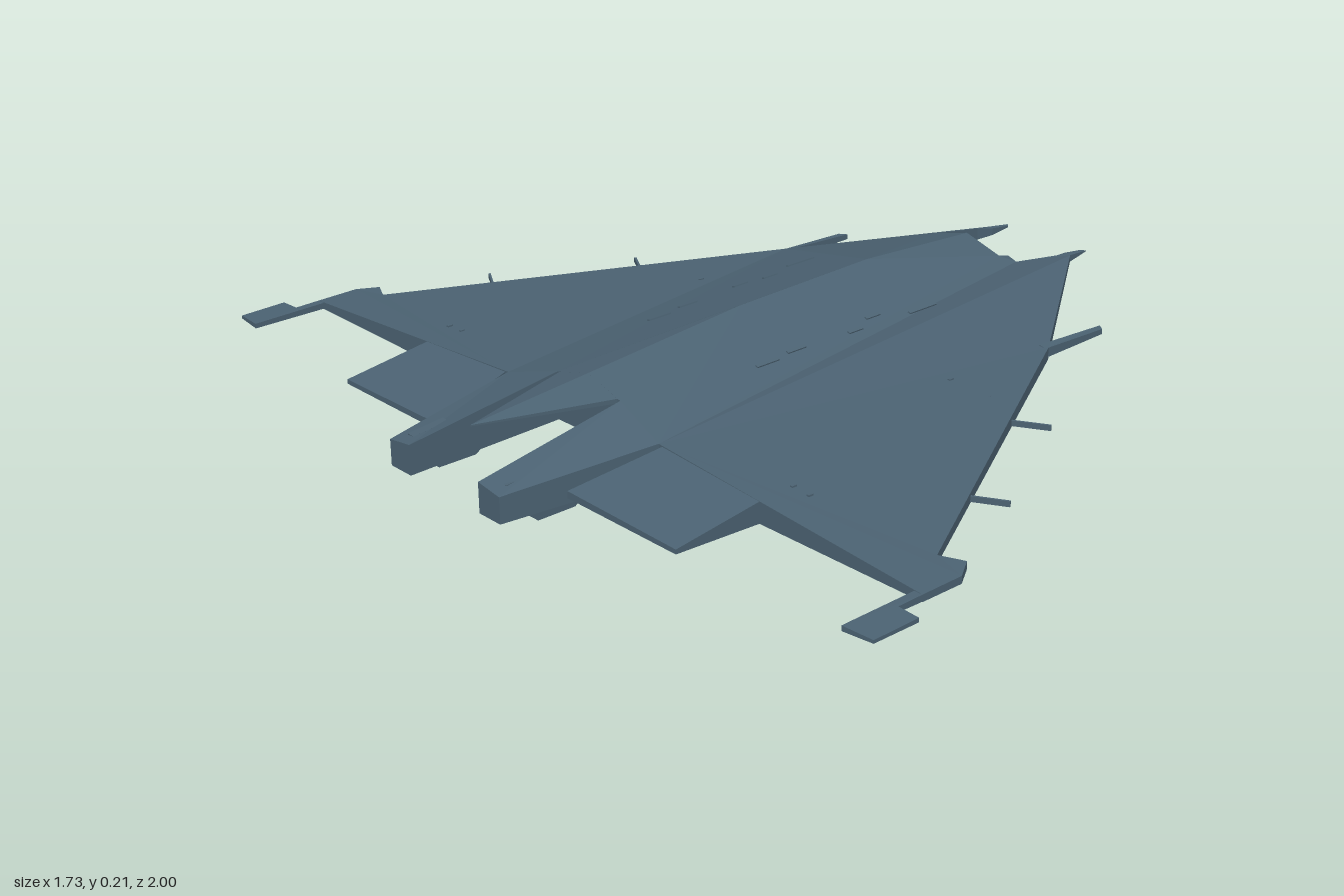
import * as THREE from 'three';

const mat = new THREE.MeshStandardMaterial({ color: 0x4b6272, flatShading: true });

// Solid between an upper and a lower surface; corners are [x, z, yTop, yBottom]
function slab(name, corners, side) {
  const p = corners.map(([x, z, t, b]) => [x, z * side, t, b]);
  const flat = p.map(c => new THREE.Vector2(c[0], c[1]));
  const ccw = THREE.ShapeUtils.area(flat) > 0;
  const pos = [];
  const top = c => [c[0], c[2], c[1]];
  const bot = c => [c[0], c[3], c[1]];
  const tri = (a, b, c) => pos.push(...a, ...b, ...c);
  for (const f of THREE.ShapeUtils.triangulateShape(flat, [])) {
    let [a, b, c] = f.map(i => p[i]);
    const cross = (b[0] - a[0]) * (c[1] - a[1]) - (b[1] - a[1]) * (c[0] - a[0]);
    if (cross > 0) [b, c] = [c, b];
    tri(top(a), top(b), top(c));
    tri(bot(a), bot(c), bot(b));
  }
  const ring = ccw ? p.slice().reverse() : p;
  ring.forEach((a, i) => {
    const b = ring[(i + 1) % ring.length];
    if (a[1] === 0 && b[1] === 0) return; // open along the centre line
    tri(top(a), bot(a), bot(b));
    tri(top(a), bot(b), top(b));
  });
  const geo = new THREE.BufferGeometry();
  geo.setAttribute('position', new THREE.Float32BufferAttribute(pos, 3));
  geo.computeVertexNormals();
  const m = new THREE.Mesh(geo, mat);
  m.name = name;
  return m;
}

function box(name, w, h, d, x, y, z) {
  const m = new THREE.Mesh(new THREE.BoxGeometry(w, h, d), mat);
  m.position.set(x, y, z);
  m.name = name;
  return m;
}

// Height of the sloping roof
const roofY = (x, z) => {
  const ridge = x < -0.1 ? 0.205 + (x + 0.1) * 0.086
    : x < 0.27 ? 0.205 + (x + 0.1) * 0.0216 : 0.213 - (x - 0.27) * 0.056;
  return ridge - 0.28 * z;
};

// Slab parts of one half
const parts = {
  hull: [
    [-0.51, 0, 0.17, 0.037], [-0.1, 0, 0.205, 0.038], [0.27, 0, 0.213, 0.056], [0.59, 0, 0.195, 0.082],
    [0.59, 0.1, 0.167, 0.08], [0.62, 0.1, 0.16, 0.083], [0.62, 0.125, 0.152, 0.084], [0.79, 0.122, 0.126, 0.106],
    [0.8, 0.13, 0.123, 0.107], [0.41, 0.41, 0.09, 0.062], [-0.53, 0.24, 0.103, 0.035], [-0.51, 0.1, 0.142, 0.036],
  ],
  nosePoint: [
    [0.76, 0.122, 0.13, 0.103], [0.8, 0.112, 0.124, 0.107], [0.855, 0.112, 0.117, 0.113],
    [0.865, 0.122, 0.116, 0.114], [0.8, 0.13, 0.123, 0.107],
  ],
  wing: [
    [0.41, 0.41, 0.09, 0.062], [-0.41, 0.87, 0.06, 0.04], [-0.385, 0.92, 0.058, 0.04],
    [-0.43, 0.95, 0.056, 0.04], [-0.53, 0.95, 0.055, 0.04], [-0.53, 0.24, 0.103, 0.035],
  ],
  wingTip: [
    [-0.53, 0.93, 0.055, 0.041], [-0.53, 0.95, 0.055, 0.041], [-0.59, 0.95, 0.054, 0.042], [-0.59, 1, 0.052, 0.043],
    [-0.7, 1, 0.05, 0.043], [-0.708, 0.93, 0.053, 0.042],
  ],
  flap: [
    [-0.53, 0.25, 0.1, 0.036], [-0.53, 0.528, 0.083, 0.037],
    [-0.735, 0.528, 0.055, 0.045], [-0.735, 0.213, 0.06, 0.045],
  ],
  tailSpike: [[-0.51, 0, 0.17, 0.134], [-0.51, 0.092, 0.144, 0.134], [-0.8, 0, 0.146, 0.143]],
  tailBoom: [
    [-0.51, 0.1, 0.142, 0.036], [-0.53, 0.24, 0.103, 0.035],
    [-0.868, 0.177, 0.078, 0.021], [-0.868, 0.112, 0.087, 0.021],
  ],
  leadingEdgeBlade: [
    [0.4, 0.41, 0.09, 0.068], [0.4, 0.393, 0.094, 0.068],
    [0.597, 0.393, 0.084, 0.072], [0.585, 0.41, 0.084, 0.072],
  ],
  boomFoot: [
    [-0.78, 0.142, 0.04, 0], [-0.78, 0.178, 0.04, 0],
    [-0.69, 0.178, 0.04, 0], [-0.64, 0.172, 0.04, 0.026], [-0.64, 0.148, 0.04, 0.026], [-0.69, 0.142, 0.04, 0],
  ],
  bellyRail: [
    [-0.64, 0.148, 0.045, 0.026], [-0.64, 0.172, 0.045, 0.026],
    [0.05, 0.168, 0.05, 0.035], [0.05, 0.152, 0.05, 0.035],
  ],
};

export function createModel() {
  const model = new THREE.Group();
  model.name = 'deltaCraft';

  // Underwing pod profile: radius, distance along the craft
  const podProfile = [[0, -0.65], [0.012, -0.56], [0.02, -0.42], [0.018, -0.3], [0.01, -0.16], [0, -0.155]]
    .map(([r, l]) => new THREE.Vector2(r, l));

  for (const side of [1, -1]) {
    const half = new THREE.Group();
    half.name = side > 0 ? 'starboardHalf' : 'portHalf';
    for (const [name, corners] of Object.entries(parts)) half.add(slab(name, corners, side));

    const pod = new THREE.Mesh(new THREE.LatheGeometry(podProfile, 8), mat);
    pod.rotation.z = -Math.PI / 2;
    pod.position.set(0, 0.033, side * 0.36);
    pod.name = 'underwingPod';
    half.add(pod);

    // Thin probes swept out from the leading edge
    for (const [x, z, y] of [[0.125, 0.605, 0.063], [-0.177, 0.77, 0.055]]) {
      const probe = box('edgeProbe', 0.1, 0.012, 0.005, x, y, side * z);
      probe.rotation.y = -side * 1.05;
      half.add(probe);
    }

    // Roof vents
    for (const [x, z, len] of [[-0.18, 0.17, 0.06], [-0.1, 0.17, 0.05], [0.06, 0.18, 0.04], [0.13, 0.16, 0.04], [0.25, 0.19, 0.08]]) {
      const vent = box('roofVent', len, 0.003, 0.008, x, roofY(x, z), side * z);
      vent.rotation.x = side * 0.27;
      half.add(vent);
    }

    // Small wing studs and the raised slot on the boom
    for (const [x, z, y] of [[0.13, 0.39, 0.0915], [0.14, 0.49, 0.082], [-0.44, 0.525, 0.0835], [-0.44, 0.57, 0.081]])
      half.add(box('wingStud', 0.012, 0.006, 0.006, x, y, side * z));
    const slot = box('boomSlot', 0.085, 0.006, 0.02, -0.795, 0.0875, side * 0.15);
    slot.rotation.z = 0.1;
    half.add(slot);

    // Cheek vents beside the intake
    half.add(box('intakeCheek', 0.03, 0.05, 0.01, 0.6, 0.125, side * 0.105));
    model.add(half);
  }
  return model;
}
